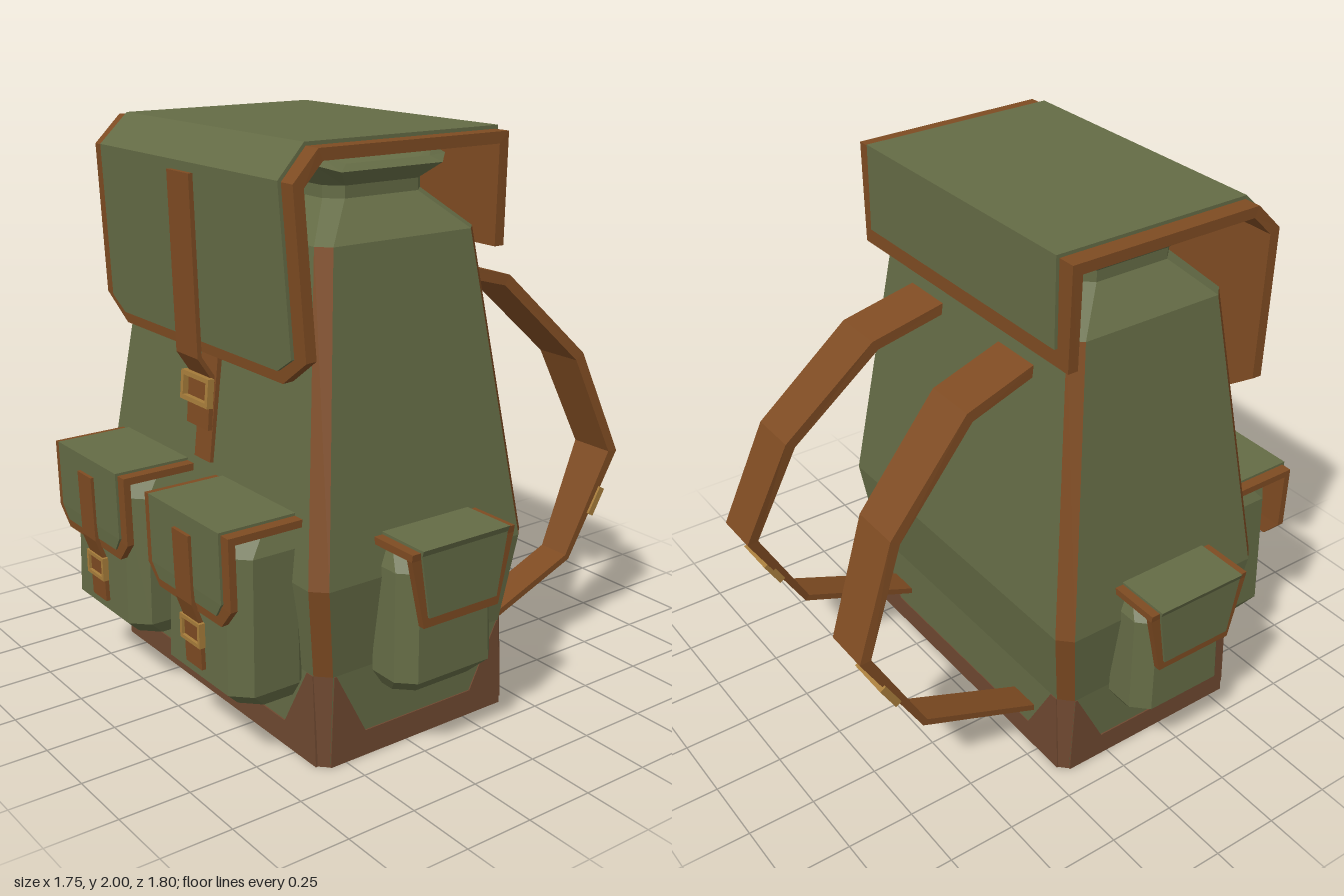
import * as THREE from 'three';

const mat = (name, color) => {
  const m = new THREE.MeshStandardMaterial({ color });
  m.name = name;
  return m;
};

// Joins rings of points with flat faces and caps; pick(segment, side) chooses a material index.
function loft(name, rings, mats, pick = () => 0) {
  const list = [].concat(mats);
  const buckets = list.map(() => []);
  const n = rings[0].length;
  const tri = (k, ...p) => p.forEach((v) => buckets[k].push(...v));
  const cap = (ring, k) => {
    for (let i = 1; i < n - 1; i++) tri(k, ring[0], ring[i], ring[i + 1]);
  };
  for (let s = 0; s < rings.length - 1; s++) {
    for (let i = 0; i < n; i++) {
      const j = (i + 1) % n, a = rings[s], b = rings[s + 1], k = pick(s, i);
      tri(k, a[i], b[i], b[j]);
      tri(k, a[i], b[j], a[j]);
    }
  }
  cap(rings[0], pick(-1, 0));
  cap([...rings[rings.length - 1]].reverse(), pick(rings.length, 0));
  const geo = new THREE.BufferGeometry();
  geo.setAttribute('position', new THREE.Float32BufferAttribute(buckets.flat(), 3));
  let start = 0;
  buckets.forEach((b, k) => {
    geo.addGroup(start, b.length / 3, k);
    start += b.length / 3;
  });
  geo.computeVertexNormals();
  const mesh = new THREE.Mesh(geo, list.length > 1 ? list : list[0]);
  mesh.name = name;
  return mesh;
}

// Chamfered rectangle at height y; yEnd lifts the front and back edges.
function ring(y, hw, z0, z1, c, yEnd = y) {
  return [
    [hw - c, yEnd, z1], [c - hw, yEnd, z1], [-hw, y, z1 - c], [-hw, y, z0 + c],
    [c - hw, yEnd, z0], [hw - c, yEnd, z0], [hw, y, z0 + c], [hw, y, z1 - c],
  ];
}

// Strap or sheet along a path of [z, y, halfWidth, centreX, thickness]; outer side is left of travel.
function ribbon(name, path, material, t = 0.02, off = 0) {
  const dir = (a, b) => new THREE.Vector2(b[0] - a[0], b[1] - a[1]).normalize();
  const rings = path.map((p, i) => {
    const d0 = i ? dir(path[i - 1], p) : dir(p, path[1]);
    const d1 = i < path.length - 1 ? dir(p, path[i + 1]) : d0;
    const n0 = new THREE.Vector2(-d0.y, d0.x), n1 = new THREE.Vector2(-d1.y, d1.x);
    const n = n0.clone().add(n1).normalize();
    n.divideScalar(Math.max(0.5, n.dot(n0)));
    const [z, y, h, x = 0, th = t] = p;
    const at = (sx, o) => [x + sx * h, y + n.y * o, z + n.x * o];
    return [at(-1, off), at(1, off), at(1, off - th), at(-1, off - th)];
  });
  return loft(name, rings, material);
}

function frame(name, w, h, bar, depth, material) {
  const rect = (P, a, b) => {
    const s = new P();
    s.moveTo(-a, -b); s.lineTo(a, -b); s.lineTo(a, b); s.lineTo(-a, b); s.closePath();
    return s;
  };
  const shape = rect(THREE.Shape, w / 2, h / 2);
  shape.holes.push(rect(THREE.Path, w / 2 - bar, h / 2 - bar));
  const geo = new THREE.ExtrudeGeometry(shape, { depth, bevelEnabled: false });
  geo.translate(0, 0, -depth / 2);
  const mesh = new THREE.Mesh(geo, material);
  mesh.name = name;
  return mesh;
}

export function createModel() {
  const canvas = mat('olive canvas', 0x646b45);
  const leather = mat('brown leather', 0x7e4b22);
  const baseLeather = mat('base leather', 0x6e4830);
  const brass = mat('brass', 0xa67c3a);
  const model = new THREE.Group();
  model.name = 'backpack';

  // Main bag with leather-bound corners and a gathered, flared neck
  model.add(loft('bag', [
    ring(0, 0.645, -0.2, 0.592, 0.03),
    ring(0.32, 0.648, -0.2, 0.595, 0.045),
    ring(0.64, 0.69, -0.245, 0.64, 0.047),
    ring(1.68, 0.545, -0.12, 0.51, 0.042),
    ring(1.8, 0.43, 0, 0.39, 0.05),
    ring(1.84, 0.43, 0, 0.39, 0.05),
    ring(1.89, 0.48, -0.07, 0.45, 0.06, 1.91),
    ring(1.91, 0.45, -0.04, 0.41, 0.06, 1.935),
    ring(1.84, 0.38, 0.04, 0.35, 0.05),
  ], [canvas, leather, baseLeather], (s, i) => {
    if (s === -1) return 2;
    if (i % 2 === 0 || s > 2) return 0;
    return s === 0 ? 2 : 1;
  }));

  // Base guard plates, rising at the corners
  const guard = (name, hw, topIn, lowIn, x, z, turn) => {
    const s = new THREE.Shape();
    [[-hw, 0], [hw, 0], [hw - 0.015, 0.32], [topIn, 0.32], [lowIn, 0.09],
      [-lowIn, 0.09], [-topIn, 0.32], [0.015 - hw, 0.32]]
      .forEach(([a, b], k) => (k ? s.lineTo(a, b) : s.moveTo(a, b)));
    const geo = new THREE.ExtrudeGeometry(s, { depth: 0.007, bevelEnabled: false });
    const mesh = new THREE.Mesh(geo, baseLeather);
    mesh.name = name;
    mesh.position.set(x, 0, z);
    mesh.rotation.y = turn;
    model.add(mesh);
  };
  guard('frontGuard', 0.618, 0.57, 0.44, 0, 0.591, 0);
  guard('backGuard', 0.618, 0.57, 0.44, 0, -0.196, Math.PI);
  guard('leftGuard', 0.365, 0.342, 0.225, 0.644, 0.196, Math.PI / 2);
  guard('rightGuard', 0.365, 0.342, 0.225, -0.644, 0.196, -Math.PI / 2);

  // Lid: a leather shell with a canvas panel on top
  const lid = new THREE.Group();
  lid.name = 'lid';
  lid.add(ribbon('lidTrim', [
    [-0.18, 1.62, 0.59], [-0.18, 1.988, 0.6], [0.56, 1.988, 0.6], [0.655, 1.892, 0.605],
    [0.625, 1.36, 0.622], [0.62, 1.268, 0.49],
  ], leather, 0.038));
  lid.add(ribbon('lidPanel', [
    [-0.18, 1.685, 0.535], [-0.18, 1.988, 0.535], [0.56, 1.988, 0.535], [0.655, 1.892, 0.545],
    [0.625, 1.36, 0.56], [0.622, 1.31, 0.48],
  ], canvas, 0.012, 0.012));
  model.add(lid);

  // Front closing strap
  model.add(ribbon('lowerFrontStrap', [[0.568, 1.36, 0.05], [0.622, 0.89, 0.05]], leather));
  model.add(ribbon('lidStrap', [
    [0.682, 1.865, 0.068], [0.668, 1.26, 0.068], [0.622, 1.19, 0.068], [0.637, 1.01, 0.068],
  ], leather, 0.016));
  const lidBuckle = frame('lidBuckle', 0.172, 0.1, 0.016, 0.024, brass);
  lidBuckle.position.set(0, 1.14, 0.634);
  lidBuckle.rotation.x = -0.09;
  model.add(lidBuckle);

  // Pockets, built facing +z
  const pocket = (name, p) => {
    const g = new THREE.Group();
    g.name = name;
    const { hw, back, front, low, high, c } = p;
    g.add(loft('pocketBody', [
      ring(low, hw - 0.04, back, front - 0.06, c),
      ring(low + 0.06, hw, back, front, c),
      ring(high - 0.08, hw - 0.01, back, front - 0.01, c),
      ring(high, hw - 0.05, back, front - 0.08, c),
    ], canvas));
    const { top, out, trim, panel, drop } = p.flap;
    g.add(ribbon('flapTrim', [
      [back, top, trim[0]], [out, top, trim[0]], [out - 0.004, drop[0], trim[1]],
      [out - 0.008, drop[1], trim[2]],
    ], leather, 0.025));
    g.add(ribbon('flapPanel', [
      [back, top, panel[0]], [out, top, panel[0]], [out - 0.004, drop[0] + 0.015, panel[1]],
      [out - 0.008, drop[1] + 0.035, panel[2]],
    ], canvas, 0.01, 0.009));
    model.add(g);
    return g;
  };

  for (const s of [1, -1]) {
    const side = s > 0 ? 'left' : 'right';

    // Front pocket with its strap and buckle
    const fp = pocket(side + 'FrontPocket', {
      hw: 0.238, back: 0.56, front: 0.852, low: 0.23, high: 0.83, c: 0.06,
      flap: {
        top: 0.852, out: 0.885, trim: [0.253, 0.253, 0.19], panel: [0.212, 0.212, 0.175],
        drop: [0.61, 0.54],
      },
    });
    fp.position.x = s * 0.325;
    fp.add(ribbon('pocketStrap', [
      [0.905, 0.8, 0.049], [0.898, 0.565, 0.049], [0.872, 0.49, 0.049], [0.868, 0.33, 0.049],
    ], leather, 0.015));
    const b = frame('pocketBuckle', 0.12, 0.085, 0.013, 0.022, brass);
    b.position.set(0, 0.455, 0.87);
    fp.add(b);

    // Side pocket
    const sp = pocket(side + 'SidePocket', {
      hw: 0.203, back: 0.6, front: 0.822, low: 0.245, high: 0.755, c: 0.055,
      flap: {
        top: 0.775, out: 0.862, trim: [0.21, 0.21, 0.155], panel: [0.178, 0.176, 0.14],
        drop: [0.75, 0.512],
      },
    });
    sp.position.z = 0.195;
    sp.rotation.y = s * Math.PI / 2;

    // Shoulder strap, thinner and narrower below its buckle
    model.add(ribbon(side + 'ShoulderStrap', [
      [-0.19, 0.165, 0.06, s * 0.412, 0.022], [-0.67, 0.355, 0.062, s * 0.41, 0.024],
      [-0.897, 0.74, 0.086, s * 0.388, 0.038], [-0.738, 1.135, 0.093, s * 0.34, 0.04],
      [-0.41, 1.458, 0.097, s * 0.284, 0.04], [-0.11, 1.54, 0.097, s * 0.26, 0.04],
    ], leather));
    const sb = frame(side + 'ShoulderBuckle', 0.16, 0.11, 0.014, 0.026, brass);
    sb.position.set(s * 0.402, 0.56, -0.795);
    sb.rotation.x = Math.atan2(-0.227, 0.385);
    model.add(sb);
  }
  return model;
}
